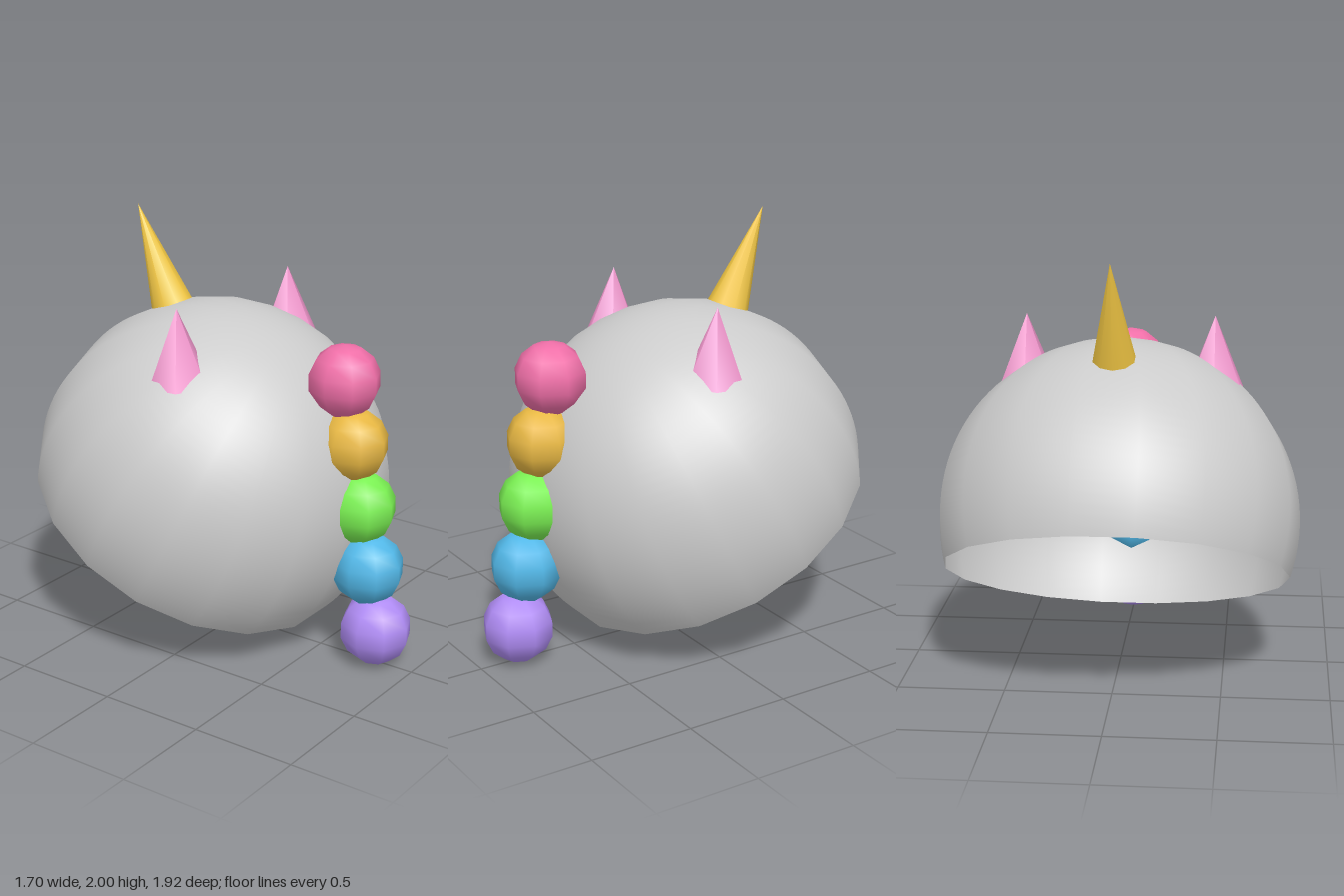
import * as THREE from 'three';

const mat = (color, side = THREE.FrontSide) => new THREE.MeshStandardMaterial({ color, side });

export function createModel() {
  const group = new THREE.Group();
  const add = (name, geometry, material, x, y, z, tilt = 0) => {
    const mesh = new THREE.Mesh(geometry, material);
    mesh.name = name;
    mesh.position.set(x, y, z);
    mesh.rotation.x = tilt;
    group.add(mesh);
    return mesh;
  };

  // Open shell, a little more than half a sphere, tipped forward
  const shell = new THREE.SphereGeometry(0.85, 18, 32, 0, Math.PI * 2, 0, Math.PI * 0.6);
  add('headShell', shell, mat(0xcccccc, THREE.DoubleSide), 0, 0.738, -0.134, 0.5);

  // Horn leaning back; its cone is shifted so the base sits at the origin
  const horn = new THREE.ConeGeometry(0.1, 0.5, 10).translate(0, 0.25, 0);
  add('horn', horn, mat(0xf2c744), 0, 1.54, -0.375, -0.4);

  // Six-sided ears, sunk partly into the shell
  const ear = new THREE.ConeGeometry(0.15, 0.35, 6);
  const earMat = mat(0xf59ad0);
  for (const side of [1, -1]) {
    add(side > 0 ? 'leftEar' : 'rightEar', ear, earMat, side * 0.44, 1.512, -0.003, -0.04);
  }

  // Row of coloured balls down the front, from bottom to top
  const ball = new THREE.SphereGeometry(0.17, 8, 7);
  [0xb08cf5, 0x52b8e8, 0x7af052, 0xe8b843, 0xf06fa8].forEach((color, i) => {
    add(`maneBall${i + 1}`, ball, mat(color), 0, 0.17 + 0.295 * i, 0.8 - 0.05 * i);
  });

  return group;
}
